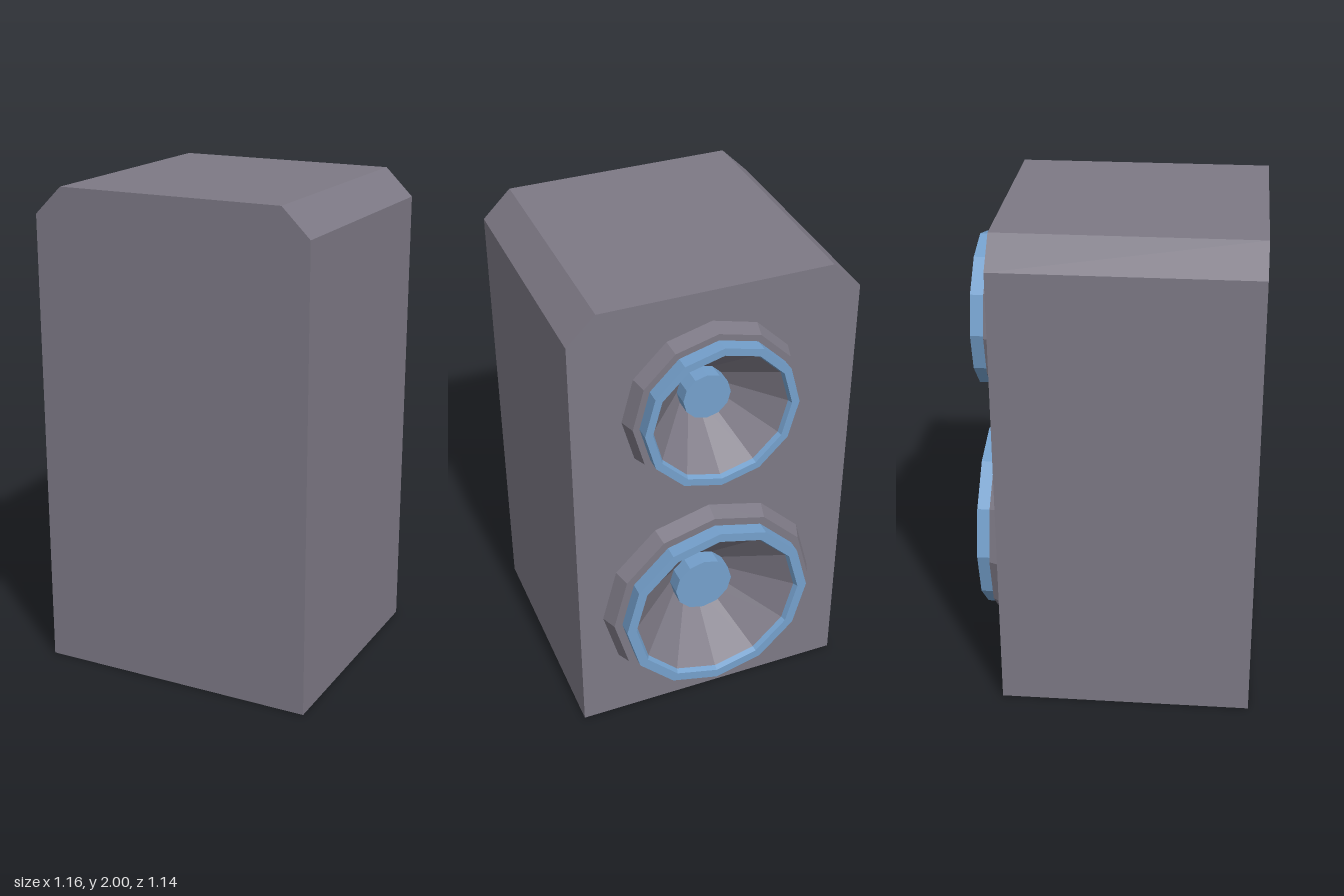
import * as THREE from 'three';
import { mergeGeometries } from 'three/addons/utils/BufferGeometryUtils.js';

const BACK = -0.455, FRONT = 0.57;
const DRIVERS = [
  { name: 'largeSpeaker', x: 0.02, y: 0.55, size: 0.4 },
  { name: 'smallSpeaker', x: 0.02, y: 1.512, size: 0.3125 },
];

export function createModel() {
  const grey = new THREE.MeshStandardMaterial({ color: 0x7d7985, flatShading: true });
  grey.name = 'cabinetGrey';
  const blue = new THREE.MeshStandardMaterial({ color: 0x74a0cc, flatShading: true });
  blue.name = 'trimBlue';

  const model = new THREE.Group();
  model.name = 'speakerCabinet';

  const add = (parent, name, geometry, material) => {
    const mesh = new THREE.Mesh(geometry, material);
    mesh.name = name;
    parent.add(mesh);
  };

  // Cabinet outline with chamfered top corners
  const outline = () => new THREE.Shape([
    [-0.58, 0], [0.58, 0], [0.58, 1.887], [0.465, 2], [-0.465, 2], [-0.58, 1.887],
  ].map(([x, y]) => new THREE.Vector2(x, y)));

  // Walls only, taken from the side faces of an extrusion
  const tube = new THREE.ExtrudeGeometry(outline(), { depth: FRONT - BACK, bevelEnabled: false });
  const { start, count } = tube.groups[1];
  const walls = new THREE.BufferGeometry();
  walls.setAttribute('position', new THREE.BufferAttribute(
    tube.attributes.position.array.slice(start * 3, (start + count) * 3), 3));
  walls.translate(0, 0, BACK);
  walls.computeVertexNormals();

  // Plain front panel, and a rear panel with openings for the speakers
  const rear = outline();
  for (const d of DRIVERS) {
    rear.holes.push(new THREE.Path().absarc(-d.x, d.y, d.size, 0, Math.PI * 2, true));
  }
  const panels = [
    new THREE.ShapeGeometry(outline()).translate(0, 0, FRONT),
    new THREE.ShapeGeometry(rear, 6).rotateY(Math.PI).translate(0, 0, BACK),
  ].map((g) => g.deleteAttribute('uv').toNonIndexed());
  add(model, 'cabinet', mergeGeometries([walls, ...panels]), grey);

  // Twelve-sided turned part; profile is [radius, distance out from the rear panel]
  const turned = (profile) => new THREE.LatheGeometry(
    profile.map(([r, h]) => new THREE.Vector2(r, h)), 12).rotateX(-Math.PI / 2);

  for (const { name, x, y, size } of DRIVERS) {
    const k = size / 0.4;
    const speaker = new THREE.Group();
    speaker.name = name;
    speaker.position.set(x, y, BACK);
    model.add(speaker);

    add(speaker, 'flaredMount', turned([[0.46 * k, 0], [0.434 * k, 0.063], [0.38 * k, 0.063]]), grey);
    add(speaker, 'rim', turned([
      [0.4 * k, 0.063], [0.4 * k, 0.12], [0.36 * k, 0.12], [0.35 * k, 0.1],
    ]), blue);
    add(speaker, 'cone', turned([[0.35 * k, 0.1], [0.1 * k, -0.125], [0, -0.125]]), grey);
    add(speaker, 'dustCap', turned([[0.125 * k, -0.125], [0.125 * k, -0.035], [0, -0.035]]), blue);
  }
  return model;
}
